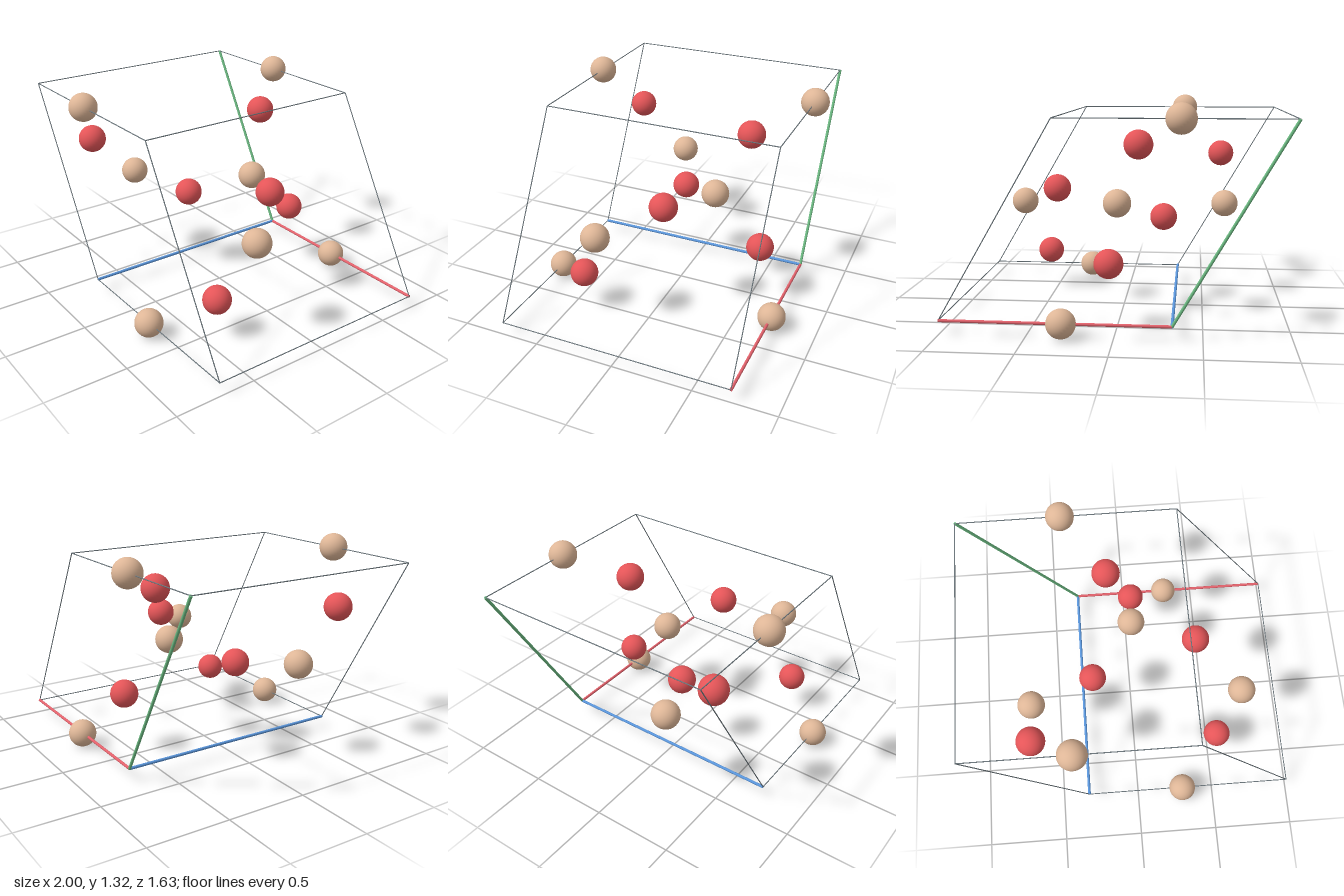
import * as THREE from 'three';

// Hexagonal crystal cell: edge length A, height C, lower back corner at ORIGIN
const A = 1.326, C = 1.456;
const ORIGIN = new THREE.Vector3(-0.328, 0.086, -C / 2);
const ATOM_RADIUS = 0.086;

// Fractional cell coordinates to model space
function cellPoint(u, v, w) {
  return new THREE.Vector3(A * (u - v / 2), A * v * Math.sin(Math.PI / 3), C * w).add(ORIGIN);
}

function material(name, color) {
  const m = new THREE.MeshStandardMaterial({ color });
  m.name = name;
  return m;
}

// Round bar between two points
function bar(name, from, to, radius, mat) {
  const dir = to.clone().sub(from);
  const mesh = new THREE.Mesh(new THREE.CylinderGeometry(radius, radius, dir.length(), 12), mat);
  mesh.position.copy(from).add(to).multiplyScalar(0.5);
  mesh.quaternion.setFromUnitVectors(new THREE.Vector3(0, 1, 0), dir.normalize());
  mesh.name = name;
  return mesh;
}

export function createModel() {
  const model = new THREE.Group();
  model.name = 'crystalCell';

  const tan = material('tan', 0xdeb697);
  const red = material('red', 0xe45558);
  const grey = material('slateGrey', 0x6b767c);
  const axes = [
    { name: 'redAxis', mat: material('axisRed', 0xe4626c) },
    { name: 'greenAxis', mat: material('axisGreen', 0x6cba82) },
    { name: 'blueAxis', mat: material('axisBlue', 0x5a96dc) },
  ];

  // Twelve cell edges: the three at the origin are thick coloured axes
  axes.forEach(({ name, mat }, k) => {
    for (const i of [0, 1]) {
      for (const j of [0, 1]) {
        const start = [0, 0, 0];
        start[(k + 1) % 3] = i;
        start[(k + 2) % 3] = j;
        const end = [...start];
        end[k] = 1;
        const isAxis = i + j === 0;
        model.add(bar(isAxis ? name : 'cellEdge', cellPoint(...start), cellPoint(...end),
          isAxis ? 0.009 : 0.003, isAxis ? mat : grey));
      }
    }
  });

  // Atoms
  const ball = new THREE.SphereGeometry(ATOM_RADIUS, 32, 20);
  function addAtoms(name, mat, sites) {
    const group = new THREE.Group();
    group.name = name + 's';
    for (const site of sites) {
      const atom = new THREE.Mesh(ball, mat);
      atom.name = name;
      atom.position.copy(cellPoint(...site));
      group.add(atom);
    }
    model.add(group);
  }

  // Tan atoms, repeated on the shared cell edges
  const s = 0.47;
  addAtoms('tanAtom', tan, [
    [s, 0, 0], [s, 0, 1], [s, 1, 0], [s, 1, 1],
    [0, s, 2 / 3], [1, s, 2 / 3],
    [1 - s, 1 - s, 1 / 3],
  ]);

  // Red atoms, by threefold and twofold symmetry
  const x = 0.414, y = 0.268, z = 0.119;
  addAtoms('redAtom', red, [
    [x, y, z],
    [1 - y, x - y, z + 2 / 3],
    [1 + y - x, 1 - x, z + 1 / 3],
    [y, x, 2 / 3 - z],
    [x - y, 1 - y, 1 - z],
    [1 - x, 1 + y - x, 1 / 3 - z],
  ]);

  return model;
}
